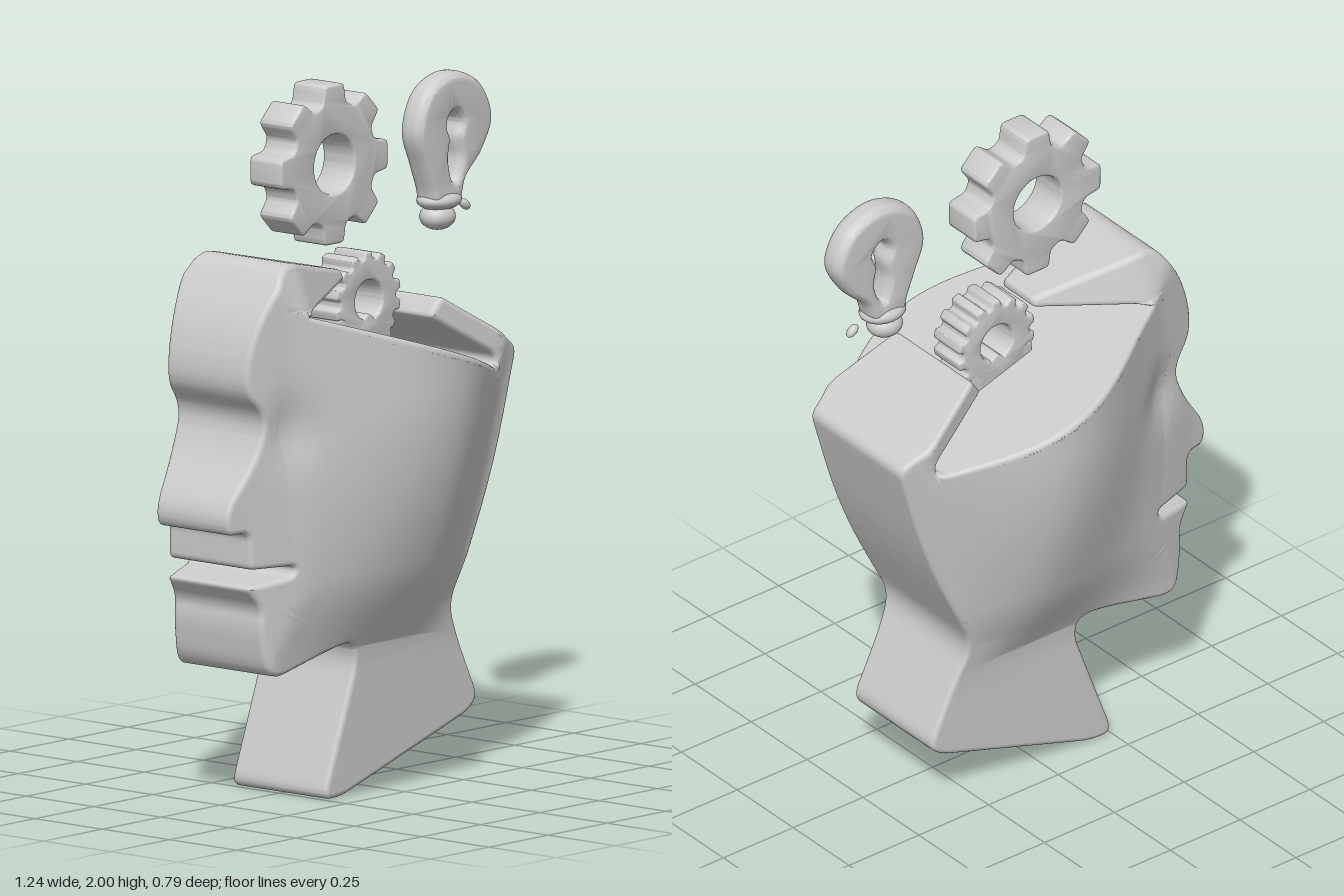
import * as THREE from 'three';
import { mergeVertices, toCreasedNormals } from 'three/addons/utils/BufferGeometryUtils.js';

const V2 = (x, y) => new THREE.Vector2(x, y);
const clamp = THREE.MathUtils.clamp;
const material = new THREE.MeshStandardMaterial({ color: 0xcccccc });

// Head outline, counter-clockwise: x, y, corner radius
const PROFILE = [
  [-0.41, 1.55, 0.05], [-0.53, 1.38, 0.12], [-0.57, 1.20, 0.09], [-0.485, 1.12, 0.07], [-0.52, 1.01, 0.08],
  [-0.625, 0.86, 0.06], [-0.615, 0.79, 0.03], [-0.545, 0.80, 0.03], [-0.545, 0.69, 0.02],
  [-0.40, 0.69, 0.02], [-0.41, 0.66, 0.02], [-0.555, 0.64, 0.02], [-0.505, 0.575, 0.03], [-0.515, 0.52, 0.05],
  [-0.49, 0.365, 0.07], [-0.14, 0.445, 0.06], [-0.12, 0.38, 0.05], [-0.26, 0.00, 0.05], [-0.18, 0.00, 0.04],
  [0.36, 0.17, 0.04], [0.40, 0.21, 0.04], [0.26, 0.50, 0.06], [0.43, 0.84, 0.18], [0.53, 1.19, 0.03],
  [0.245, 1.365, 0.015], [0.205, 1.31, 0.015], [0.42, 1.18, 0.03], [0.405, 1.145, 0.03],
  [-0.37, 1.395, 0.01], [-0.055, 1.44, 0.012], [-0.055, 1.468, 0.012],
];

// Rounds the corners of a closed polygon, then splits edges longer than maxStep
function roundedLoop(points, maxStep) {
  const n = points.length, raw = [];
  points.forEach(([x, y, r], i) => {
    const p = V2(x, y);
    const cut = (q) => {
      const d = V2(q[0], q[1]).sub(p);
      return p.clone().addScaledVector(d.clone().normalize(), Math.min(r, d.length() * 0.48));
    };
    const curve = new THREE.QuadraticBezierCurve(cut(points[(i + n - 1) % n]), p, cut(points[(i + 1) % n]));
    raw.push(...curve.getPoints(5));
  });
  const out = [];
  raw.forEach((a, i) => {
    const b = raw[(i + 1) % raw.length];
    const steps = Math.max(1, Math.ceil(a.distanceTo(b) / maxStep));
    for (let k = 0; k < steps; k++) out.push(a.clone().lerp(b, k / steps));
  });
  return out;
}

// Half thickness of the head at a point of its profile
function halfWidth(x, y) {
  const up = clamp((y - 0.42) / 0.75, 0, 1);
  const back = 0.27 + 0.25 * Math.pow(clamp((y - 0.5) / 0.7, 0, 1), 0.85);
  const t = clamp(x < 0.05 ? (0.05 - x) / 0.48 : (x - 0.05) / (back - 0.05), 0, 1);
  const bulge = 0.19 * Math.sin(up * Math.PI / 2) * Math.pow(Math.max(0, Math.cos(t * Math.PI / 2)), 1.5);
  const face = 0.13 + 0.075 * THREE.MathUtils.smoothstep(x, -0.66, -0.34);
  const neck = 0.175 + 0.03 * THREE.MathUtils.smoothstep(y, 0.35, 0.65);
  const eye = 0.025 * Math.exp(-(((x + 0.41) / 0.07) ** 2) - ((y - 1.07) / 0.09) ** 2);
  const w = Math.min(face, neck) + bulge - eye;
  // Flaps above the cut plane are narrower than the skull
  if (y < 1.4 - (x + 0.37) * 0.325 + 0.005) return w;
  const flap = x < 0.05
    ? 0.21 - 0.4 * Math.max(0, x + 0.36) - 0.35 * Math.max(0, y - 1.4)
    : 0.235 - 0.3 * Math.max(0, 0.45 - x);
  return Math.min(w, flap);
}

function headGeometry() {
  const r = 0.014, loop = roundedLoop(PROFILE, 0.035), n = loop.length, pos = [];
  const inward = loop.map((p, i) => {
    const d = loop[(i + 1) % n].clone().sub(loop[(i + n - 1) % n]).normalize();
    return V2(-d.y, d.x);
  });
  const inset = (d) => loop.map((p, i) => p.clone().addScaledVector(inward[i], d));
  const tri = (a, b, c) => pos.push(...a, ...b, ...c);

  // Rounded edge and wall: rings from one side to the other
  const rings = [];
  const steps = 4;
  for (const side of [1, -1]) {
    for (let k = 0; k <= steps; k++) {
      const a = (side > 0 ? 1 - k / steps : k / steps) * Math.PI / 2;
      rings.push(inset(r * (1 - Math.cos(a))).map((p) =>
        [p.x, p.y, side * (halfWidth(p.x, p.y) - r * (1 - Math.sin(a)))]));
    }
  }
  for (let j = 0; j < rings.length - 1; j++) {
    for (let i = 0; i < n; i++) {
      const k = (i + 1) % n, A = rings[j], B = rings[j + 1];
      tri(A[i], B[i], A[k]);
      tri(A[k], B[i], B[k]);
    }
  }

  // Sides: halve the longest edge until fine, then push out by the thickness
  const cap = inset(r);
  const lift = (p, s) => [p.x, p.y, s * halfWidth(p.x, p.y)];
  const split = (a, b, c) => {
    const ab = a.distanceTo(b), bc = b.distanceTo(c), ca = c.distanceTo(a);
    const longest = Math.max(ab, bc, ca);
    if (longest < 0.045) {
      tri(lift(a, 1), lift(b, 1), lift(c, 1));
      tri(lift(a, -1), lift(c, -1), lift(b, -1));
    } else if (longest === ab) {
      const m = a.clone().add(b).multiplyScalar(0.5);
      split(a, m, c);
      split(m, b, c);
    } else if (longest === bc) split(b, c, a);
    else split(c, a, b);
  };
  for (const [a, b, c] of THREE.ShapeUtils.triangulateShape(cap, [])) split(cap[a], cap[b], cap[c]);

  let g = new THREE.BufferGeometry();
  g.setAttribute('position', new THREE.Float32BufferAttribute(pos, 3));
  g = mergeVertices(g, 1e-5);
  g.computeVertexNormals();
  return g;
}

// Extrusion centred on z = 0 with a rounded edge
function plate(shape, half, bevel, size, segments = 3, crease = 0.7) {
  const g = new THREE.ExtrudeGeometry(shape, {
    depth: 2 * (half - bevel), bevelThickness: bevel, bevelSize: size, bevelOffset: -size,
    bevelSegments: segments, curveSegments: 32,
  });
  g.translate(0, 0, -(half - bevel));
  return toCreasedNormals(g, crease);
}

function gearGeometry(teeth, rootR, tipR, holeR, half) {
  const pitch = Math.PI * 2 / teeth, pts = [];
  for (let i = 0; i < teeth; i++) {
    for (const [f, rad] of [[-0.36, rootR], [-0.25, tipR * 0.96], [-0.2, tipR], [0.2, tipR], [0.25, tipR * 0.96], [0.36, rootR]]) {
      const a = Math.PI / 2 + (i + f) * pitch;
      pts.push([rad * Math.cos(a), rad * Math.sin(a), 0.015]);
    }
  }
  const shape = new THREE.Shape(roundedLoop(pts, 1));
  shape.holes.push(new THREE.Path().absarc(0, 0, holeR, 0, Math.PI * 2, true));
  return plate(shape, half, 0.008, 0.008);
}

export function createModel() {
  const model = new THREE.Group();
  const add = (parent, name, geometry, x = 0, y = 0) => {
    const mesh = new THREE.Mesh(geometry, material);
    mesh.name = name;
    mesh.position.set(x, y, 0);
    parent.add(mesh);
    return mesh;
  };

  add(model, 'head', headGeometry());
  add(model, 'largeGear', gearGeometry(8, 0.178, 0.23, 0.085, 0.06), -0.08, 1.77);

  // Small gear standing on the cut plane
  add(model, 'smallGear', gearGeometry(14, 0.118, 0.138, 0.057, 0.06), 0.066, 1.365);
  const foot = [[-0.06, 1.26], [0.16, 1.18], [0.16, 1.30], [0.10, 1.30], [0.066, 1.33], [0.03, 1.30], [-0.06, 1.33]];
  add(model, 'smallGearFoot', plate(new THREE.Shape(roundedLoop(foot.map((p) => [...p, 0.015]), 1)), 0.06, 0.006, 0.006));

  // Light bulb: thick rounded outline with a keyhole opening
  const bulb = new THREE.Group();
  bulb.name = 'lightBulb';
  model.add(bulb);
  const spline = (pts) => new THREE.CatmullRomCurve3(pts.map(([x, y]) => new THREE.Vector3(x, y, 0)), true)
    .getPoints(72).slice(0, -1).map((p) => V2(p.x, p.y));
  const glass = new THREE.Shape(spline([
    [0.46, 1.957], [0.35, 1.915], [0.302, 1.80], [0.335, 1.70], [0.362, 1.63], [0.375, 1.59], [0.43, 1.575],
    [0.485, 1.59], [0.51, 1.65], [0.575, 1.715], [0.62, 1.81], [0.57, 1.915],
  ]));
  glass.holes.push(new THREE.Path(spline([
    [0.458, 1.845], [0.43, 1.815], [0.443, 1.77], [0.436, 1.71], [0.455, 1.65],
    [0.48, 1.71], [0.473, 1.77], [0.487, 1.815],
  ].reverse())));
  add(bulb, 'bulbGlass', plate(glass, 0.042, 0.034, 0.024, 8, 1.2));
  const blob = (name, x, y, sx, sy, sz) => {
    const m = add(bulb, name, new THREE.SphereGeometry(1, 28, 18), x, y);
    m.scale.set(sx, sy, sz);
    return m;
  };
  blob('bulbCollar', 0.43, 1.595, 0.072, 0.03, 0.058);
  blob('bulbTip', 0.423, 1.548, 0.053, 0.038, 0.05);
  blob('bulbDrop', 0.538, 1.567, 0.022, 0.013, 0.014).rotation.z = -0.7;

  return model;
}
